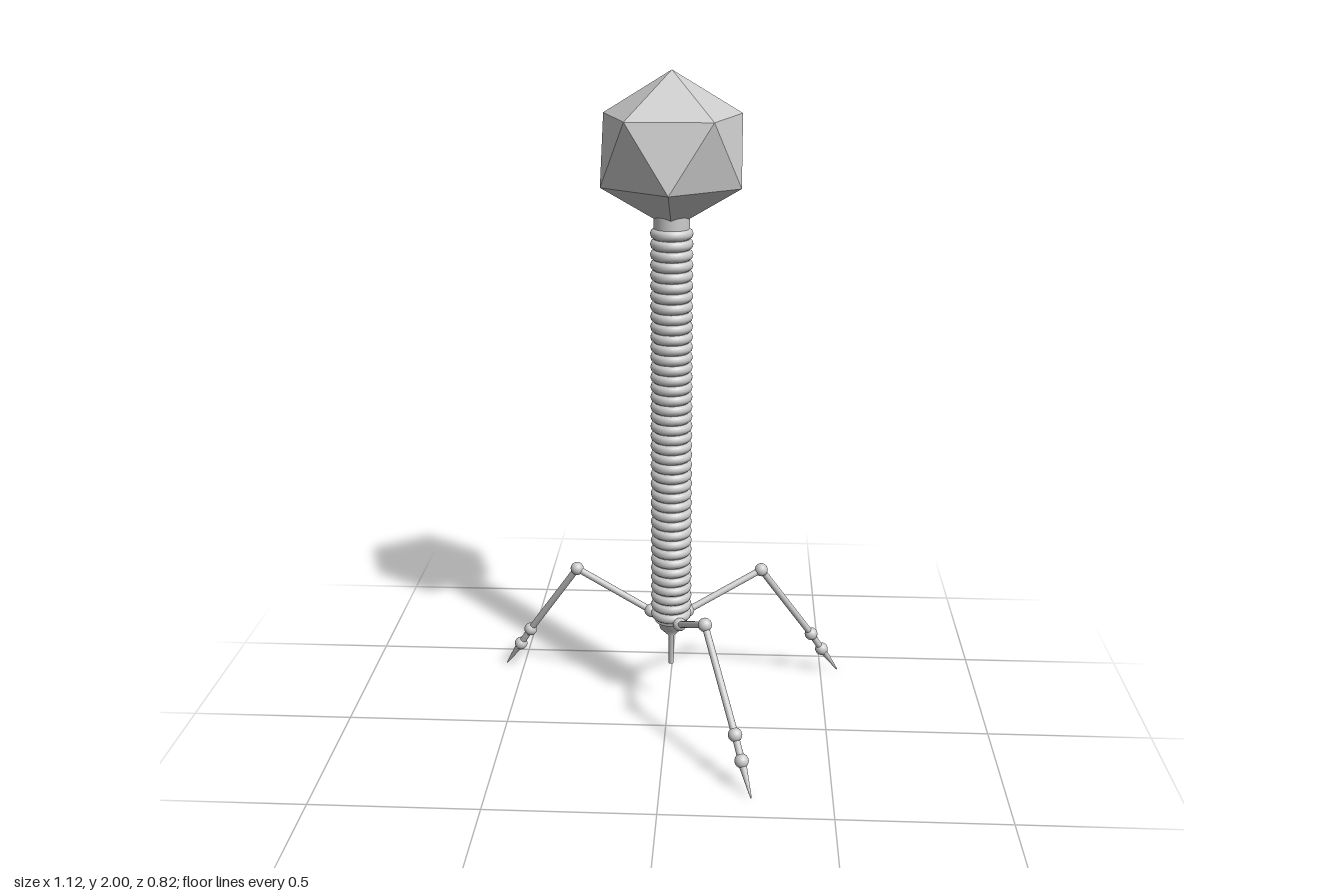
import * as THREE from 'three';

const AX = 0.01, AZ = -0.141; // vertical axis of head and tail

export function createModel() {
  const root = new THREE.Group();
  const mat = new THREE.MeshStandardMaterial({ color: 0xcccccc });
  const flat = new THREE.MeshStandardMaterial({ color: 0xcccccc, flatShading: true });
  const add = (name, geo, parent, material = mat) => {
    const m = new THREE.Mesh(geo, material);
    m.name = name;
    parent.add(m);
    return m;
  };
  // tapered rod between two points
  const rod = (name, a, b, ra, rb, parent) => {
    const d = b.clone().sub(a);
    const m = add(name, new THREE.CylinderGeometry(rb, ra, d.length(), 16), parent);
    m.position.copy(a).addScaledVector(d, 0.5);
    m.quaternion.setFromUnitVectors(new THREE.Vector3(0, 1, 0), d.normalize());
  };

  const body = new THREE.Group();
  body.name = 'body';
  body.position.set(AX, 0, AZ);
  root.add(body);

  // head: twenty-sided shell, two staggered rings of five and two apexes
  const ring = (y, start) => Array.from({ length: 5 }, (_, i) => {
    const a = start + i * Math.PI * 0.4;
    return [0.212 * Math.sin(a), y, 0.212 * Math.cos(a)];
  });
  const up = ring(1.873, Math.PI), low = ring(1.676, Math.PI * 1.2);
  const tris = [];
  for (let i = 0; i < 5; i++) {
    const j = (i + 1) % 5;
    tris.push([0, 2, 0], up[i], up[j]);
    tris.push(up[i], low[i], up[j]);
    tris.push(up[j], low[i], low[j]);
    tris.push([0, 1.547, 0], low[j], low[i]);
  }
  const head = new THREE.BufferGeometry();
  head.setAttribute('position', new THREE.Float32BufferAttribute(tris.flat(), 3));
  head.computeVertexNormals();
  add('head', head, body, flat);

  // collar under the head
  add('collar', new THREE.CylinderGeometry(0.053, 0.053, 0.06, 32), body).position.y = 1.56;

  // ringed tail sheath
  const bottom = 0.31, top = 1.55, count = 40, pitch = (top - bottom) / count;
  add('tailCore', new THREE.CylinderGeometry(0.053, 0.053, top - bottom, 32), body)
    .position.y = (top + bottom) / 2;
  const ringGeo = new THREE.TorusGeometry(0.047, 0.0165, 10, 36).rotateX(Math.PI / 2);
  for (let i = 0; i < count; i++) {
    add('tailRing', ringGeo, body).position.y = bottom + (i + 0.5) * pitch;
  }

  // base cone and needle
  const tip = [[0, 0.315], [0.05, 0.315], [0.05, 0.3], [0.04, 0.295], [0.036, 0.275],
    [0.009, 0.248], [0.008, 0.15], [0, 0.148]];
  add('baseNeedle', new THREE.LatheGeometry(
    tip.map(([r, y]) => new THREE.Vector2(r, y)).reverse(), 24), body, 
    new THREE.MeshStandardMaterial({ color: 0xcccccc, side: THREE.DoubleSide }));

  // three jointed legs: hip, knee, ankle, lower ankle, toe in plan (x, z)
  const heights = [0.313, 0.422, 0.156, 0.093, 0.004];
  const plans = [
    [[0.06, -0.186], [0.293, -0.27], [0.464, -0.36], [0.501, -0.378], [0.556, -0.408]],
    [[-0.056, -0.18], [-0.298, -0.25], [-0.469, -0.348], [-0.506, -0.368], [-0.56, -0.4]],
    [[0.039, -0.082], [0.123, 0.143], [0.217, 0.313], [0.237, 0.35], [0.266, 0.405]],
  ];
  const names = ['thigh', 'shin', 'ankle', 'foot'];
  const ball = new THREE.SphereGeometry(0.021, 20, 14);
  plans.forEach((plan, k) => {
    const leg = new THREE.Group();
    leg.name = ['backLeftLeg', 'backRightLeg', 'frontLeg'][k];
    root.add(leg);
    const p = plan.map(([x, z], i) => new THREE.Vector3(x, heights[i], z));
    names.forEach((name, i) => {
      add(name + 'Joint', ball, leg).position.copy(p[i]);
      rod(name, p[i], p[i + 1], i === 3 ? 0.013 : 0.0105, i === 3 ? 0.002 : 0.0105, leg);
    });
  });
  return root;
}
